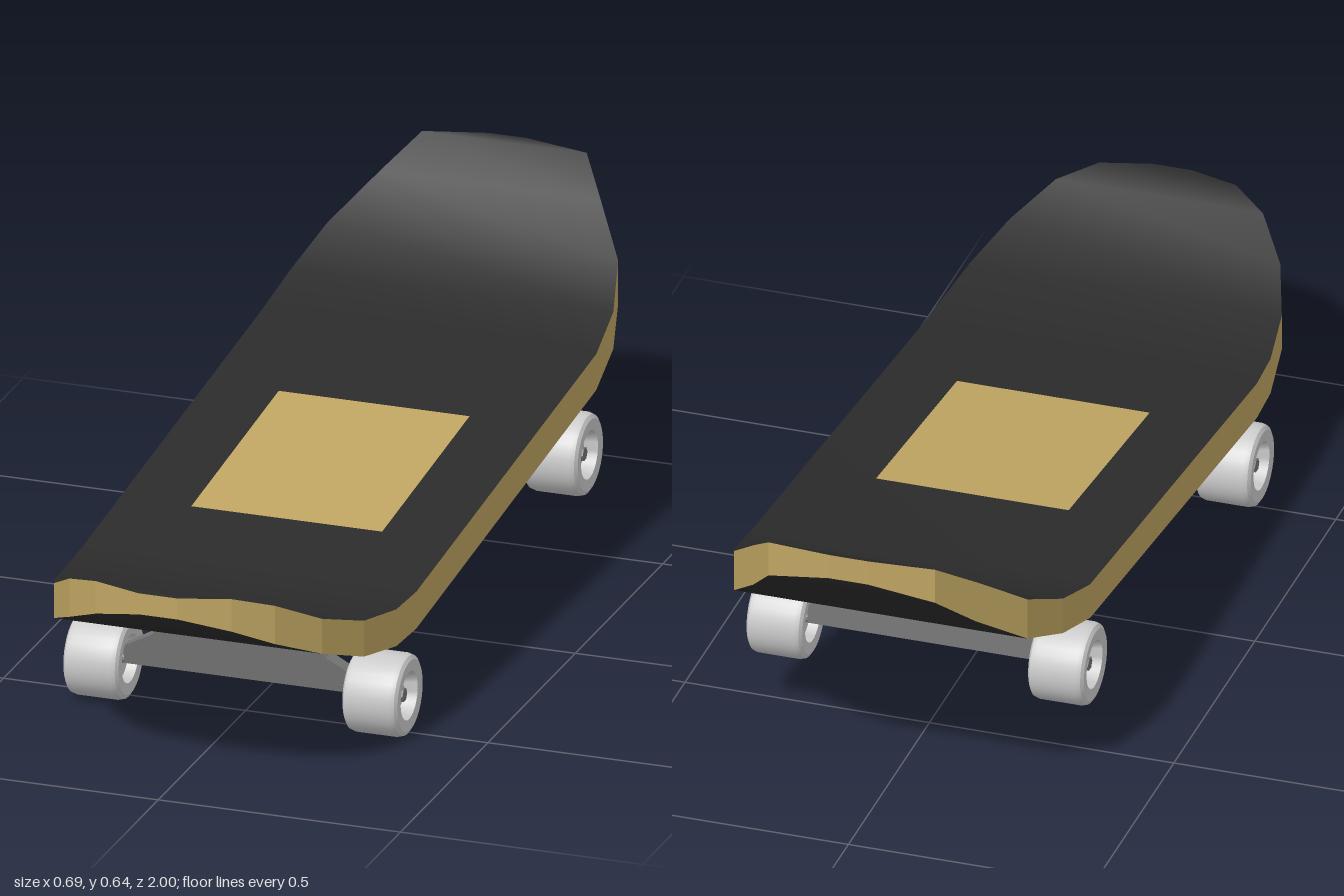
import * as THREE from 'three';
import { toCreasedNormals } from 'three/addons/utils/BufferGeometryUtils.js';

const wood = new THREE.MeshStandardMaterial({ color: 0xbfa562 });
const woodEdge = new THREE.MeshStandardMaterial({ color: 0xbfa562, flatShading: true });
const grip = new THREE.MeshStandardMaterial({ color: 0x2b2b2b });
const metal = new THREE.MeshStandardMaterial({ color: 0x777777, flatShading: true });
const grey = new THREE.MeshStandardMaterial({ color: 0xcccccc });

// Deck stations from nose to tail: z, half width, top y, bottom y
const stations = [
  [1.0, 0.04, 0.427, 0.383], [0.97, 0.14, 0.428, 0.36], [0.92, 0.212, 0.405, 0.325],
  [0.83, 0.277, 0.353, 0.28], [0.71, 0.32, 0.31, 0.235], [0.58, 0.34, 0.288, 0.211],
  [0.48, 0.345, 0.288, 0.211], [-0.55, 0.345, 0.4, 0.325], [-0.68, 0.333, 0.437, 0.36],
  [-0.8, 0.3, 0.495, 0.407], [-0.9, 0.228, 0.575, 0.487], [-0.98, 0.17, 0.636, 0.562],
  [-1.0, 0.04, 0.642, 0.59],
];

function add(parent, name, geometry, material) {
  const mesh = new THREE.Mesh(geometry, material);
  mesh.name = name;
  parent.add(mesh);
  return mesh;
}

// Quad strip between two rows of points
function strip(a, b) {
  const n = a.length, index = [];
  for (let i = 0; i < n - 1; i++) index.push(i, i + 1, n + i + 1, i, n + i + 1, n + i);
  const geometry = new THREE.BufferGeometry().setFromPoints([...a, ...b]);
  geometry.setIndex(index);
  geometry.computeVertexNormals();
  return geometry;
}

function createDeck() {
  const deck = new THREE.Group();
  deck.name = 'deck';
  const row = (side, level) => stations.map((s) => new THREE.Vector3(side * s[1], s[level], s[0]));
  const ring = (level) => {
    const left = row(1, level);
    return [...left, ...row(-1, level).reverse(), left[0].clone()];
  };
  add(deck, 'gripTop', strip(row(1, 2), row(-1, 2)), grip);
  add(deck, 'underside', strip(row(-1, 3), row(1, 3)), grip);
  add(deck, 'deckEdge', strip(ring(3), ring(2)), woodEdge);

  // Bare wood rectangle lying on the sloping middle of the deck
  const topY = (z) => 0.288 + (0.48 - z) * 0.112 / 1.03 + 0.002;
  const panelRow = (x) => [0.265, -0.235].map((z) => new THREE.Vector3(x, topY(z), z));
  add(deck, 'topPanel', strip(panelRow(0.197), panelRow(-0.197)), wood);
  return deck;
}

// Wheel profile (radius, distance along axle), recessed on both faces
const wheelProfile = [
  [0.01, -0.04], [0.026, -0.04], [0.028, -0.035], [0.045, -0.035], [0.049, -0.055],
  [0.072, -0.057], [0.08, -0.052], [0.083, -0.042], [0.083, 0.042], [0.08, 0.052],
  [0.072, 0.057], [0.049, 0.055], [0.042, 0.025], [0.028, 0.025], [0.026, 0.035],
  [0.01, 0.035],
].map(([r, y]) => new THREE.Vector2(r, y));

function createWheel(side) {
  const wheel = new THREE.Group();
  wheel.name = side > 0 ? 'leftWheel' : 'rightWheel';
  const tyre = toCreasedNormals(new THREE.LatheGeometry(wheelProfile, 32), 0.6);
  add(wheel, 'tyre', tyre, grey);
  const nut = add(wheel, 'axleNut', new THREE.CylinderGeometry(0.014, 0.014, 0.016, 6), metal);
  nut.position.y = 0.038;
  wheel.rotation.z = -side * Math.PI / 2;
  wheel.position.x = side * 0.288;
  return wheel;
}

function createTruck(name, z, axleY, height) {
  const truck = new THREE.Group();
  truck.name = name;

  // Trapezoid hanger, widening forwards towards the deck
  const half = [[0.24, -0.005], [0.24, 0.033], [0.18, 0.066], [0.125, height]];
  const outline = [...half, ...half.map(([x, y]) => [-x, y]).reverse()];
  const shape = new THREE.Shape(outline.map(([x, y]) => new THREE.Vector2(x, y)));
  const hanger = new THREE.ExtrudeGeometry(shape, { depth: 1, bevelEnabled: false });
  const p = hanger.attributes.position;
  for (let i = 0; i < p.count; i++) {
    const t = p.getY(i) / height;
    p.setZ(i, p.getZ(i) > 0.5 ? 0.015 + 0.022 * t : -0.012 + 0.007 * t);
  }
  hanger.computeVertexNormals();
  add(truck, 'hanger', hanger, metal);

  const axle = add(truck, 'axle', new THREE.CylinderGeometry(0.01, 0.01, 0.66, 12), metal);
  axle.rotation.z = Math.PI / 2;
  for (const side of [1, -1]) truck.add(createWheel(side));
  truck.position.set(0, axleY, z);
  return truck;
}

export function createModel() {
  const model = new THREE.Group();
  model.name = 'skateboard';
  model.add(createDeck());
  model.add(createTruck('frontTruck', 0.515, 0.084, 0.13));
  model.add(createTruck('rearTruck', -0.516, 0.202, 0.12));
  return model;
}
